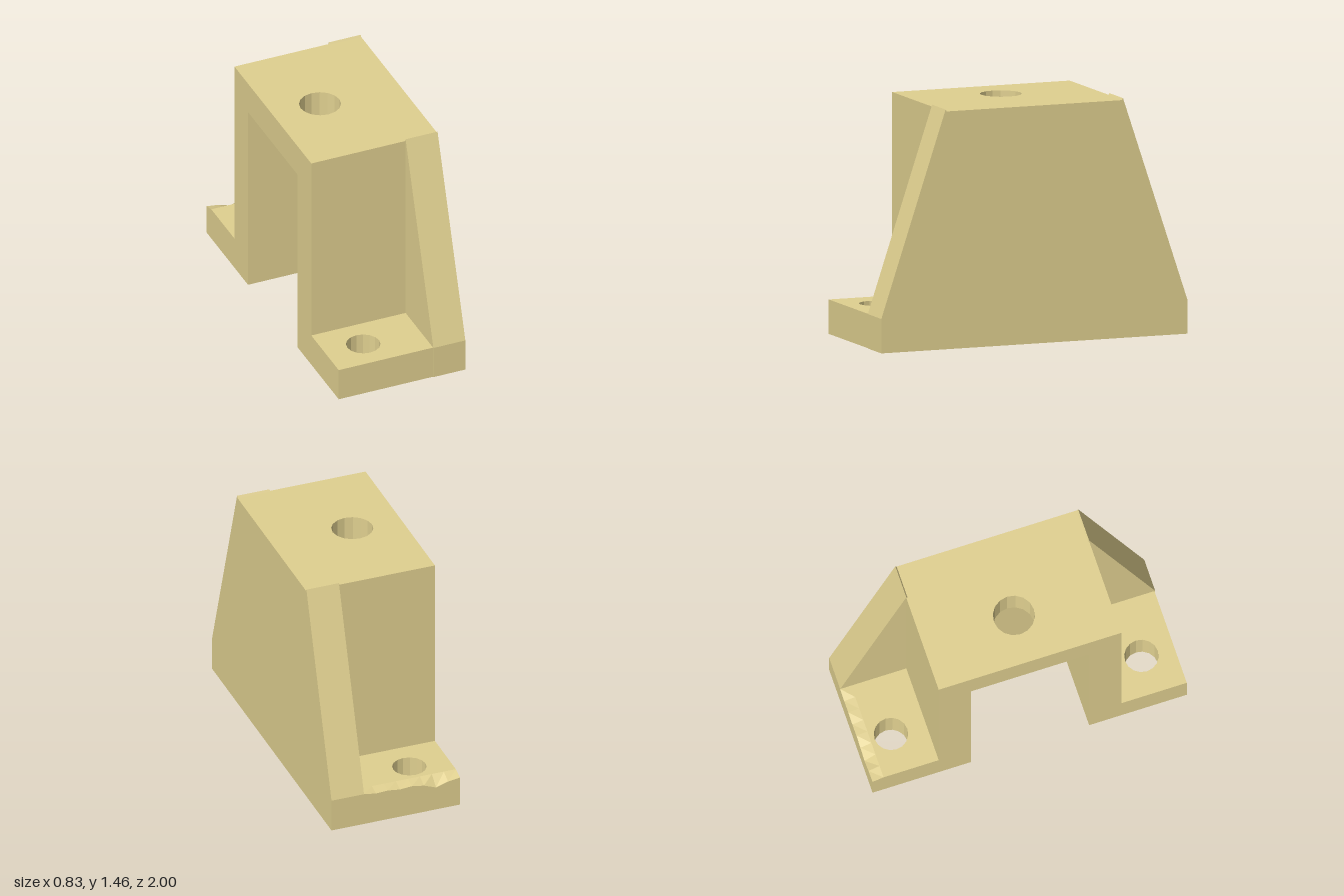
import * as THREE from 'three';

const material = new THREE.MeshStandardMaterial({ color: 0xe0d090, flatShading: true });
const LEFT = -0.415, INNER = 0.205, RIGHT = 0.415;
const TOP = 1.45, FOOT = 0.21, CEILING = 1.245;
const BODY = 0.58, CHANNEL = 0.375;

function add(group, name, geometry) {
  const mesh = new THREE.Mesh(geometry, material);
  mesh.name = name;
  group.add(mesh);
}

// Horizontal slab with a round hole through its thickness
function drilledSlab(z0, z1, y0, y1, holeX, holeZ, radius) {
  const shape = new THREE.Shape([
    [LEFT, -z1], [INNER, -z1], [INNER, -z0], [LEFT, -z0],
  ].map(([x, y]) => new THREE.Vector2(x, y)));
  const hole = new THREE.Path();
  hole.absarc(holeX, -holeZ, radius, 0, Math.PI * 2, true);
  shape.holes.push(hole);
  return new THREE.ExtrudeGeometry(shape, { depth: y1 - y0, bevelEnabled: false, curveSegments: 8 })
    .rotateX(-Math.PI / 2).translate(0, y0, 0);
}

function box(x0, x1, y0, y1, z0, z1, segmentsX = 1) {
  return new THREE.BoxGeometry(x1 - x0, y1 - y0, z1 - z0, segmentsX, 1, 1)
    .translate((x0 + x1) / 2, (y0 + y1) / 2, (z0 + z1) / 2);
}

export function createModel() {
  const group = new THREE.Group();
  group.name = 'mountingBracket';

  // Bridge across the top, with its central bolt hole
  add(group, 'bridge', drilledSlab(-BODY, BODY, CEILING, TOP, -0.105, 0, 0.127));

  // Upright walls either side of the open channel
  add(group, 'frontWall', box(LEFT, INNER, 0, CEILING, CHANNEL, BODY));
  add(group, 'backWall', box(LEFT, INNER, 0, CEILING, -BODY, -CHANNEL));

  // Drilled feet
  add(group, 'frontFoot', drilledSlab(BODY, 0.995, 0, FOOT, -0.165, 0.79, 0.104));
  add(group, 'backFoot', drilledSlab(-0.93, -BODY, 0, FOOT, -0.165, -0.8, 0.104));

  // Chipped outer edge of the back foot
  const dips = [0.02, 0.03, 0.055, 0.025, 0.012, 0.018, 0.008, 0.012, 0];
  const edge = box(LEFT, INNER, 0, FOOT, -1, -0.93, dips.length - 1);
  const p = edge.attributes.position;
  for (let i = 0; i < p.count; i++) {
    if (p.getY(i) > 0.1 && p.getZ(i) < -0.96) {
      const k = Math.round((p.getX(i) - LEFT) / (INNER - LEFT) * (dips.length - 1));
      p.setY(i, FOOT - dips[k]);
    }
  }
  edge.computeVertexNormals();
  add(group, 'chippedEdge', edge);

  // Solid tapered side plate, its sloped ribs ending in small lips above the bridge
  const half = [[1, 0], [1, FOOT], [BODY, 1.462], [0.572, TOP]];
  const outline = [...half, ...half.map(([z, y]) => [-z, y]).reverse()];
  const plate = new THREE.Shape(outline.map(([z, y]) => new THREE.Vector2(z, y)));
  add(group, 'sidePlate', new THREE.ExtrudeGeometry(plate, { depth: RIGHT - INNER, bevelEnabled: false })
    .rotateY(Math.PI / 2).translate(INNER, 0, 0));

  return group;
}
